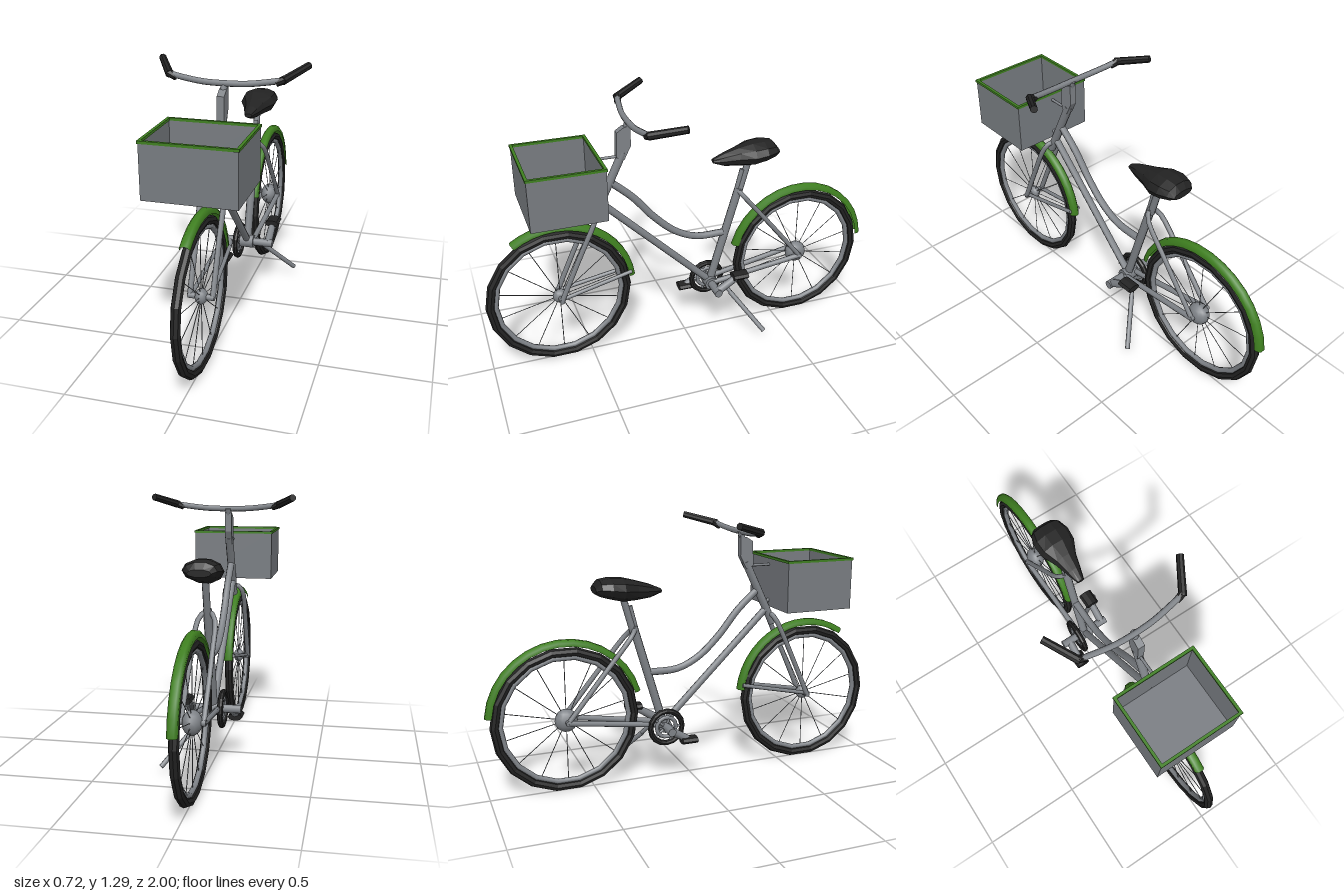
import * as THREE from 'three';
import { mergeGeometries } from 'three/addons/utils/BufferGeometryUtils.js';

const mat = (name, color, extra = {}) => Object.assign(new THREE.MeshStandardMaterial({ color, ...extra }), { name });
const V = (p) => new THREE.Vector3(...p);

// Straight round bar between two points
function bar(a, b, r, r2 = r, sides = 8) {
  const d = V(b).sub(V(a));
  const g = new THREE.CylinderGeometry(r2, r, d.length(), sides);
  g.applyQuaternion(new THREE.Quaternion().setFromUnitVectors(new THREE.Vector3(0, 1, 0), d.clone().normalize()));
  const m = V(a).add(V(b)).multiplyScalar(0.5);
  return g.translate(m.x, m.y, m.z);
}
const bent = (pts, r, n = 16) =>
  new THREE.TubeGeometry(new THREE.CatmullRomCurve3(pts.map(V)), n, r, 8, false);
const box = (w, h, d, x, y, z) => new THREE.BoxGeometry(w, h, d).translate(x, y, z);
// Ring standing in the y-z plane
const ring = (R, r, seg) => new THREE.TorusGeometry(R, r, 8, seg).rotateY(Math.PI / 2);

export function createModel() {
  const model = new THREE.Group();
  model.name = 'bicycle';
  const grey = mat('frame grey', 0x7f8388);
  const basketGrey = mat('basket grey', 0x787c81, { side: THREE.DoubleSide });
  const black = mat('rubber black', 0x222222, { flatShading: true });
  const green = mat('trim green', 0x3f8020, { side: THREE.DoubleSide });

  const add = (name, geo, material, parent = model) => {
    const m = new THREE.Mesh(Array.isArray(geo) ? mergeGeometries(geo) : geo, material);
    m.name = name;
    parent.add(m);
    return m;
  };

  // Wheels with spokes and curved mudguards
  function wheel(name, z, hubR, from, to) {
    const g = new THREE.Group();
    g.name = name;
    g.position.set(0, 0.361, z);
    add('tyre', ring(0.336, 0.022, 18), black, g);
    add('rim', ring(0.309, 0.013, 18), grey, g);
    add('hub', new THREE.SphereGeometry(hubR, 12, 8).scale(0.8, 1, 1), grey, g);
    add('axle', bar([-0.06, 0, 0], [0.06, 0, 0], 0.014), grey, g);
    const spokes = [];
    for (let i = 0; i < 14; i++) {
      const a = (i + 0.5) / 14 * Math.PI * 2;
      spokes.push(bar([0, 0, 0], [0, 0.305 * Math.sin(a), 0.305 * Math.cos(a)], 0.002, 0.002, 4));
    }
    add('spokes', spokes, grey, g);
    const profile = [[0.35, -0.022], [0.367, -0.022], [0.38, -0.011], [0.38, 0.011], [0.367, 0.022], [0.35, 0.022]]
      .map(([r, x]) => new THREE.Vector2(r, x));
    const rad = Math.PI / 180;
    const guard = new THREE.LatheGeometry(profile, 14, from * rad, (to - from) * rad).rotateZ(Math.PI / 2);
    add('mudguard', guard.translate(0, 0.014, 0), green, g);
    model.add(g);
  }
  wheel('frontWheel', 0.643, 0.036, 56, 174);
  wheel('rearWheel', -0.625, 0.056, 15, 174);

  // Frame tubes
  add('headTube', bar([0, 0.75, 0.455], [0, 1.07, 0.3], 0.021), grey);
  add('downTube', bar([0, 0.83, 0.42], [0, 0.29, -0.13], 0.018), grey);
  add('topTube', bent([[0, 0.93, 0.37], [0, 0.83, 0.26], [0, 0.71, 0.16], [0, 0.61, 0.05],
    [0, 0.56, -0.06], [0, 0.555, -0.21]], 0.018, 20), grey);
  add('seatTube', bar([0, 0.29, -0.14], [0, 0.79, -0.285], 0.021), grey);
  add('seatPost', bar([0, 0.76, -0.285], [0, 0.94, -0.335], 0.017), grey);
  add('seatClamp', bar([0, 0.77, -0.27], [0, 0.89, -0.3], 0.012), grey);
  for (const [side, s] of [['left', 1], ['right', -1]]) {
    add(side + 'ForkLeg', bent([[s * 0.052, 0.361, 0.643], [s * 0.052, 0.58, 0.545], [s * 0.05, 0.75, 0.465],
      [s * 0.035, 0.79, 0.445], [0, 0.8, 0.437]], 0.013), grey);
    add(side + 'FrontGuardStay', bar([s * 0.045, 0.365, 0.643], [s * 0.026, 0.44, 0.285], 0.01), grey);
    add(side + 'SeatStay', bent([[0, 0.785, -0.275], [s * 0.035, 0.755, -0.3], [s * 0.047, 0.6, -0.43],
      [s * 0.05, 0.361, -0.625]], 0.012), grey);
    add(side + 'ChainStay', bar([s * 0.03, 0.285, -0.14], [s * 0.05, 0.361, -0.625], 0.014), grey);
  }

  // Flat handlebar stem
  const stem = new THREE.Shape([[-0.33, 1.17], [-0.3, 1.19], [-0.265, 1.2], [-0.265, 1.1], [-0.298, 1.035], [-0.335, 1.05]]
    .map(([x, y]) => new THREE.Vector2(x, y)));
  add('stem', new THREE.ExtrudeGeometry(stem, { depth: 0.034, bevelEnabled: false })
    .translate(0, 0, -0.017).rotateY(Math.PI / 2), grey);
  add('stemTop', bar([0, 1.17, 0.285], [0, 1.22, 0.27], 0.016), grey);

  // Handlebar and grips
  add('handlebar', bent([[-0.25, 1.238, 0.25], [-0.2, 1.23, 0.258], [-0.1, 1.219, 0.272], [0, 1.217, 0.276],
    [0.1, 1.219, 0.272], [0.2, 1.23, 0.258], [0.25, 1.238, 0.25]], 0.014, 20), grey);
  for (const [side, s] of [['left', 1], ['right', -1]]) {
    add(side + 'Grip', [bar([s * 0.228, 1.226, 0.255], [s * 0.265, 1.242, 0.245], 0.016, 0.019),
      bar([s * 0.258, 1.238, 0.255], [s * 0.345, 1.28, 0.105], 0.019, 0.017)], black);
  }

  // Saddle lofted from cross-sections: z, half width, bottom, top
  const sections = [[-0.145, 0.018, 0.945, 0.965], [-0.2, 0.035, 0.925, 0.99], [-0.27, 0.055, 0.917, 1.012],
    [-0.34, 0.088, 0.915, 1.03], [-0.4, 0.092, 0.93, 1.033], [-0.45, 0.077, 0.945, 1.025], [-0.474, 0.055, 0.96, 0.995]];
  const N = 10, pos = [], idx = [];
  for (const [z, w, lo, hi] of sections)
    for (let i = 0; i < N; i++) {
      const a = i / N * Math.PI * 2;
      pos.push(w * Math.cos(a), (lo + hi) / 2 + (hi - lo) / 2 * Math.sin(a), z);
    }
  for (let k = 0; k < sections.length - 1; k++)
    for (let i = 0; i < N; i++) {
      const a = k * N + i, b = k * N + (i + 1) % N;
      idx.push(a, a + N, b, b, a + N, b + N);
    }
  const last = (sections.length - 1) * N;
  for (let i = 1; i < N - 1; i++) idx.push(0, i, i + 1, last, last + i + 1, last + i);
  const saddle = new THREE.BufferGeometry();
  saddle.setAttribute('position', new THREE.Float32BufferAttribute(pos, 3));
  saddle.setIndex(idx);
  saddle.computeVertexNormals();
  add('saddle', saddle, black);

  // Chainring, cranks and pedals
  const by = 0.278, bz = -0.137;
  add('bottomBracket', bar([-0.135, by, bz], [0.135, by, bz], 0.021), grey);
  add('bracketShell', bar([-0.035, by, bz], [0.035, by, bz], 0.035), grey);
  add('chainring', ring(0.082, 0.014, 16).translate(-0.045, by, bz), black);
  const spider = [ring(0.05, 0.01, 14).translate(-0.045, by, bz)];
  for (let i = 0; i < 5; i++) {
    const a = i / 5 * Math.PI * 2;
    spider.push(bar([-0.045, by, bz], [-0.045, by + 0.08 * Math.sin(a), bz + 0.08 * Math.cos(a)], 0.007));
  }
  add('chainringSpider', spider, grey);
  for (const [side, x, y, z] of [['left', 0.11, 0.352, -0.258], ['right', -0.095, 0.217, -0.038]]) {
    add(side + 'Crank', bar([x, by, bz], [x, y, z], 0.021, 0.018), grey);
    add(side + 'Pedal', new THREE.CylinderGeometry(0.036, 0.036, 0.078, 8).rotateX(Math.PI / 2)
      .scale(1, 0.5, 1).translate(x, y, z), black);
  }
  add('kickstand', bar([0.06, 0.225, -0.23], [0.208, 0.047, -0.362], 0.012), grey);
  add('kickstandMount', bar([0.02, 0.285, -0.19], [0.065, 0.22, -0.235], 0.01), grey);

  // Open basket with green rim and brackets
  const w = 0.412, d = 0.35, y0 = 0.838, y1 = 1.085, zc = 0.605, h = y1 - y0, yc = (y0 + y1) / 2, t = 0.006;
  const panels = [box(w, t, d, 0, y0 + t / 2, zc)], rim = [];
  for (const s of [-1, 1]) {
    panels.push(box(t, h, d, s * (w - t) / 2, yc, zc), box(w, h, t, 0, yc, zc + s * (d - t) / 2));
    rim.push(box(0.014, 0.012, d + 0.008, s * (w / 2 - 0.003), y1, zc),
      box(w + 0.008, 0.012, 0.014, 0, y1, zc + s * (d / 2 - 0.003)));
  }
  add('basket', panels, basketGrey);
  add('basketRim', rim, green);
  add('basketBrackets', [bar([0, 1.05, 0.31], [0, 1.05, 0.432], 0.007),
    bar([0, 0.86, 0.395], [0, 0.87, 0.435], 0.01)], grey);

  return model;
}
